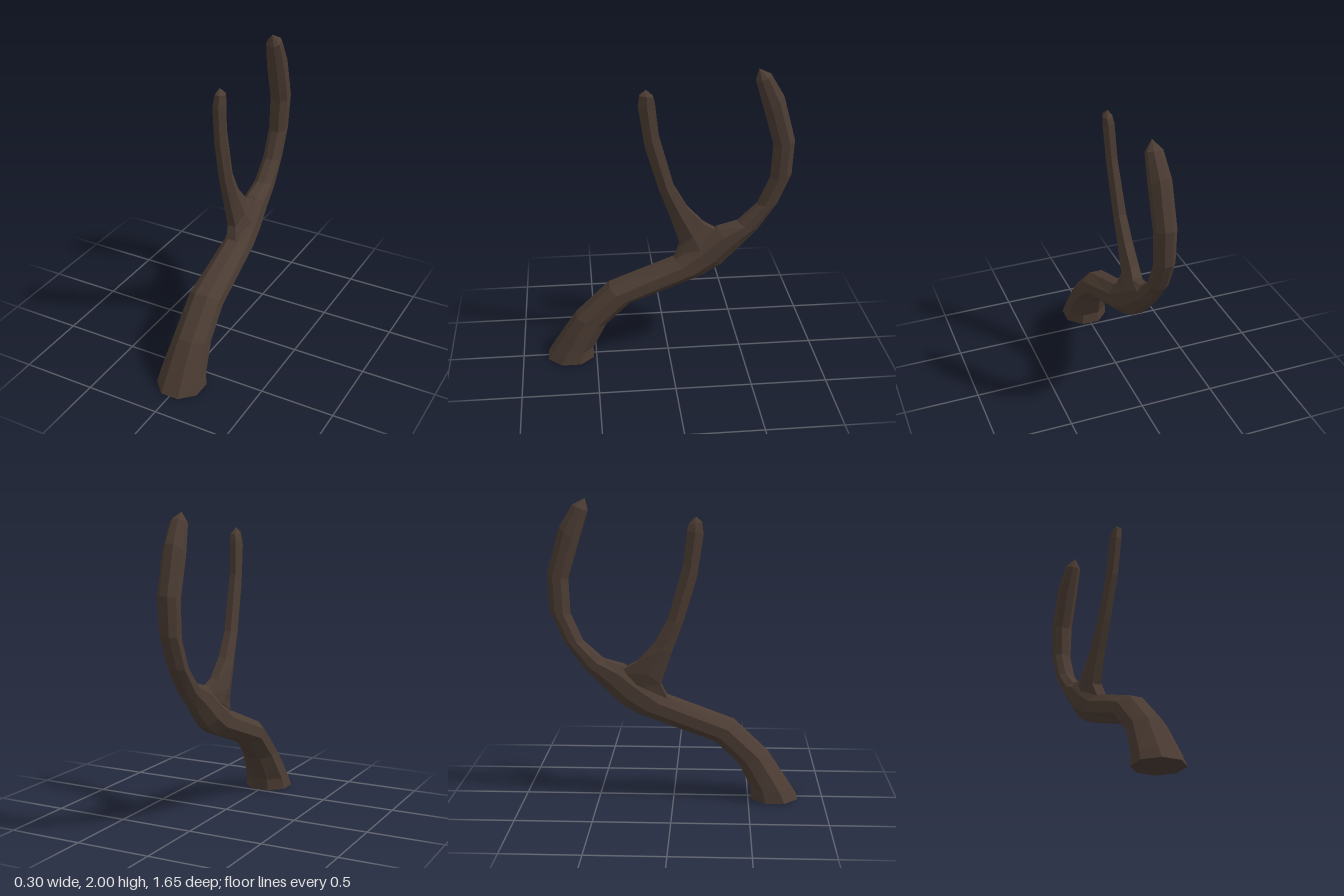
import * as THREE from 'three';

// Lofts a faceted limb. Each ring is [zFront, yFront, zBack, yBack, xMin, xMax]; apex closes the tip.
function limb(name, rings, sides, apex, material) {
  const pos = [], index = [];
  const step = (Math.PI * 2) / sides;
  const angles = Array.from({ length: sides }, (_, j) => (j + 0.5) * step);
  const sMax = Math.max(...angles.map(Math.sin));
  const cMax = Math.max(...angles.map(Math.cos));

  for (const [za, ya, zb, yb, x0, x1] of rings) {
    for (const a of angles) {
      const s = Math.sin(a) / sMax, c = Math.cos(a) / cMax;
      pos.push(
        (x0 + x1) / 2 + ((x1 - x0) / 2) * s,
        (ya + yb) / 2 + ((ya - yb) / 2) * c,
        (za + zb) / 2 + ((za - zb) / 2) * c
      );
    }
  }
  const [za, ya, zb, yb, x0, x1] = rings[0];
  const baseCentre = pos.length / 3;
  pos.push((x0 + x1) / 2, (ya + yb) / 2, (za + zb) / 2, ...apex);
  const last = (rings.length - 1) * sides;

  for (let j = 0; j < sides; j++) {
    const k = (j + 1) % sides;
    for (let i = 0; i < last; i += sides) {
      index.push(i + j, i + k, i + sides + k, i + j, i + sides + k, i + sides + j);
    }
    index.push(baseCentre, k, j);
    index.push(last + j, last + k, baseCentre + 1);
  }

  const indexed = new THREE.BufferGeometry();
  indexed.setAttribute('position', new THREE.Float32BufferAttribute(pos, 3));
  indexed.setIndex(index);
  const geometry = indexed.toNonIndexed();
  geometry.computeVertexNormals();
  const mesh = new THREE.Mesh(geometry, material);
  mesh.name = name;
  return mesh;
}

export function createModel() {
  const group = new THREE.Group();
  group.name = 'forkedBranch';
  const bark = new THREE.MeshStandardMaterial({ color: 0x4b3c33 });
  bark.name = 'darkBark';
  bark.flatShading = true;

  // Main stem: from the flared foot, along the bend and up the rear fork
  group.add(limb('mainStem', [
    [0.83, 0.0, 0.52, 0.0, -0.15, 0.15],
    [0.78, 0.08, 0.52, 0.08, -0.14, 0.14],
    [0.63, 0.31, 0.43, 0.25, -0.11, 0.12],
    [0.40, 0.53, 0.27, 0.40, -0.11, 0.11],
    [-0.04, 0.70, -0.23, 0.58, -0.10, 0.08],
    [-0.18, 0.80, -0.35, 0.65, -0.10, 0.07],
    [-0.33, 0.91, -0.46, 0.76, -0.09, 0.06],
    [-0.47, 0.95, -0.59, 0.89, -0.08, 0.05],
    [-0.60, 1.07, -0.72, 1.07, -0.08, 0.04],
    [-0.68, 1.25, -0.81, 1.28, -0.08, 0.04],
    [-0.69, 1.48, -0.82, 1.52, -0.08, 0.05],
    [-0.62, 1.71, -0.735, 1.82, -0.075, 0.055],
    [-0.555, 1.92, -0.65, 1.96, -0.05, 0.05],
  ], 8, [0, 2.0, -0.57], bark));

  // Front fork: rises from a webbed joint on top of the stem
  group.add(limb('frontFork', [
    [-0.04, 0.69, -0.38, 0.86, -0.09, 0.05],
    [-0.085, 0.79, -0.24, 0.94, -0.10, 0.02],
    [-0.015, 1.0, -0.13, 1.06, -0.09, 0.015],
    [0.06, 1.20, -0.04, 1.22, -0.075, 0.015],
    [0.15, 1.50, 0.06, 1.58, -0.055, 0.025],
    [0.19, 1.77, 0.085, 1.80, -0.045, 0.035],
    [0.18, 1.85, 0.095, 1.84, -0.03, 0.035],
  ], 6, [0, 1.885, 0.14], bark));

  return group;
}
